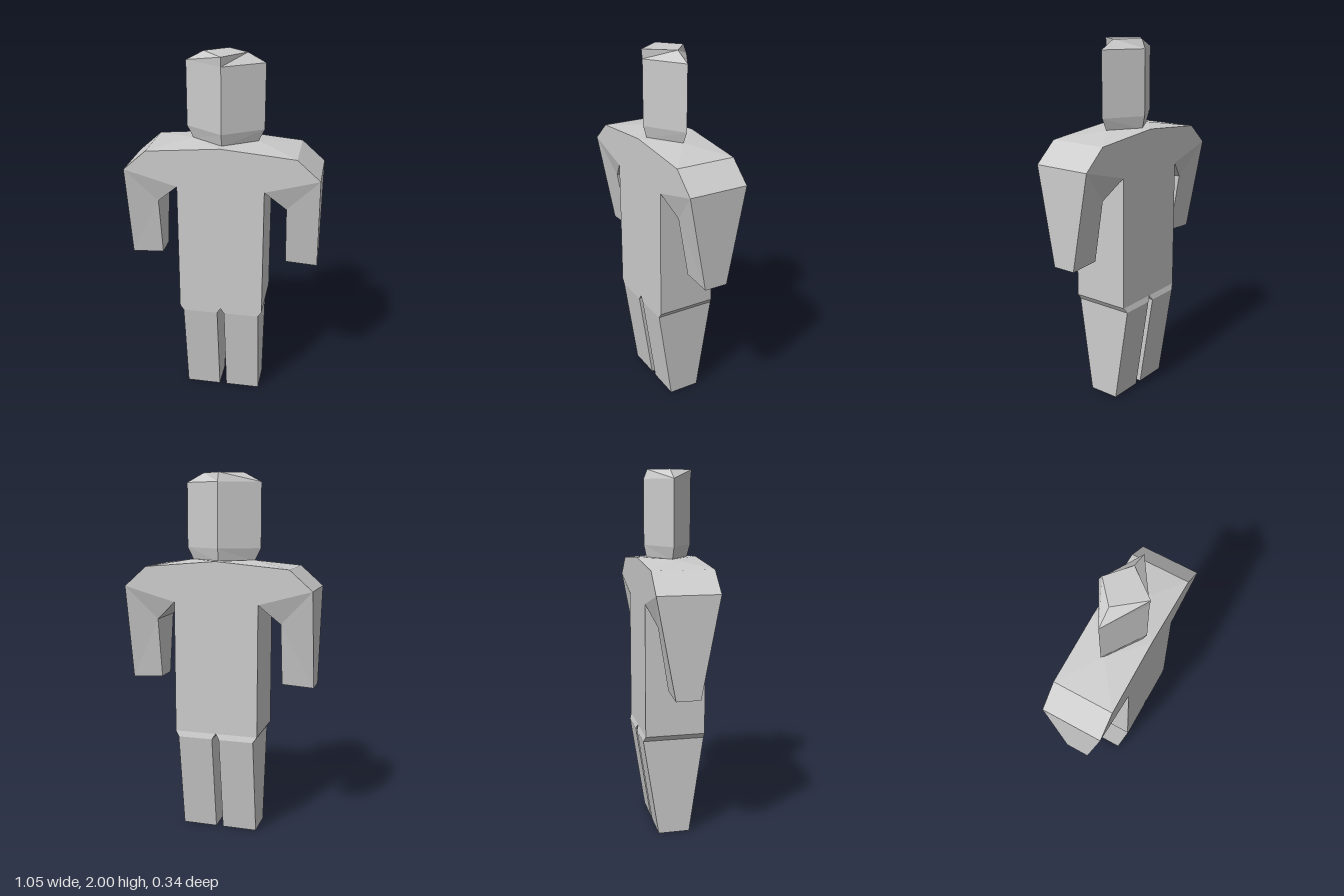
import * as THREE from 'three';

const FRONT = 0.17, BACK = -0.16;

// Closed faceted solid through rings of points; side = -1 mirrors it in x
function loft(name, rings, material, side = 1) {
  const n = rings[0].length;
  const tris = [];
  for (let r = 0; r + 1 < rings.length; r++) {
    const a = rings[r], b = rings[r + 1];
    for (let i = 0; i < n; i++) {
      const j = (i + 1) % n;
      if (i < n / 2) tris.push([a[i], a[j], b[i]], [a[j], b[j], b[i]]);
      else tris.push([a[i], a[j], b[j]], [a[i], b[j], b[i]]);
    }
  }
  const first = rings[0], last = rings[rings.length - 1];
  for (let i = 1; i + 1 < n; i++) {
    tris.push([first[0], first[i + 1], first[i]], [last[0], last[i], last[i + 1]]);
  }
  // Signed volume tells whether the faces point outward
  const vec = (p) => new THREE.Vector3(p[0] * side, p[1], p[2]);
  const faces = tris.map((t) => t.map(vec));
  let volume = 0;
  for (const [p, q, s] of faces) volume += p.dot(q.clone().cross(s));
  if (volume < 0) faces.forEach((f) => f.reverse());

  const geometry = new THREE.BufferGeometry().setFromPoints(faces.flat());
  geometry.computeVertexNormals();
  const mesh = new THREE.Mesh(geometry, material);
  mesh.name = name;
  return mesh;
}

// Four-cornered limb section from an outer and an inner edge
const limb = (outer, inner, f, b, fIn = f, bIn = b) => [
  [...outer, f], [...outer, b], [...inner, bIn], [...inner, fIn],
];

// Six-cornered torso section with its own height along the centre line
const torsoRing = (w, y, yMid = y) => [
  [-w, y, FRONT], [0, yMid, FRONT], [w, y, FRONT],
  [w, y, BACK], [0, yMid, BACK], [-w, y, BACK],
];

// Diamond-shaped head section
const diamond = (y, w, f, b) => [[w, y, 0], [0, y, f], [-w, y, 0], [0, y, b]];

export function createModel() {
  const group = new THREE.Group();
  group.name = 'figure';
  const grey = new THREE.MeshStandardMaterial({ color: 0xcccccc });
  grey.name = 'light grey';
  grey.flatShading = true;

  // Head, bevelled at chin and crown
  group.add(loft('head', [
    diamond(1.53, 0.175, 0.12, -0.105),
    diamond(1.6, 0.21, 0.14, -0.12),
    diamond(1.95, 0.21, 0.14, -0.12),
    diamond(2.0, 0.115, 0.145, -0.1),
  ], grey));

  // Torso, rising to a neck base at the top
  const neck = [
    [-0.18, 1.535, 0], [0, 1.535, FRONT], [0.18, 1.535, 0],
    [0.18, 1.535, 0], [0, 1.535, BACK], [-0.18, 1.535, 0],
  ];
  group.add(loft('torso', [
    torsoRing(0.235, 0.58), torsoRing(0.235, 1.31), torsoRing(0.4, 1.5, 1.535), neck,
  ], grey));

  for (const [side, label] of [[1, 'left'], [-1, 'right']]) {
    // Arm: shoulder, elbow, hand
    group.add(loft(label + 'Arm', [
      limb([0.4, 1.5], [0.235, 1.31], FRONT, BACK),
      limb([0.525, 1.39], [0.35, 1.205], FRONT, BACK, 0.13, -0.115),
      limb([0.525, 0.855], [0.35, 0.865], 0.07, -0.06),
    ], grey, side));

    // Leg: hip bevel, thigh, foot
    group.add(loft(label + 'Leg', [
      limb([0.235, 0.58], [0, 0.58], FRONT, BACK),
      limb([0.215, 0.55], [0.02, 0.55], FRONT, -0.17),
      limb([0.215, 0], [0.02, 0], 0.09, -0.085),
    ], grey, side));
  }
  return group;
}
